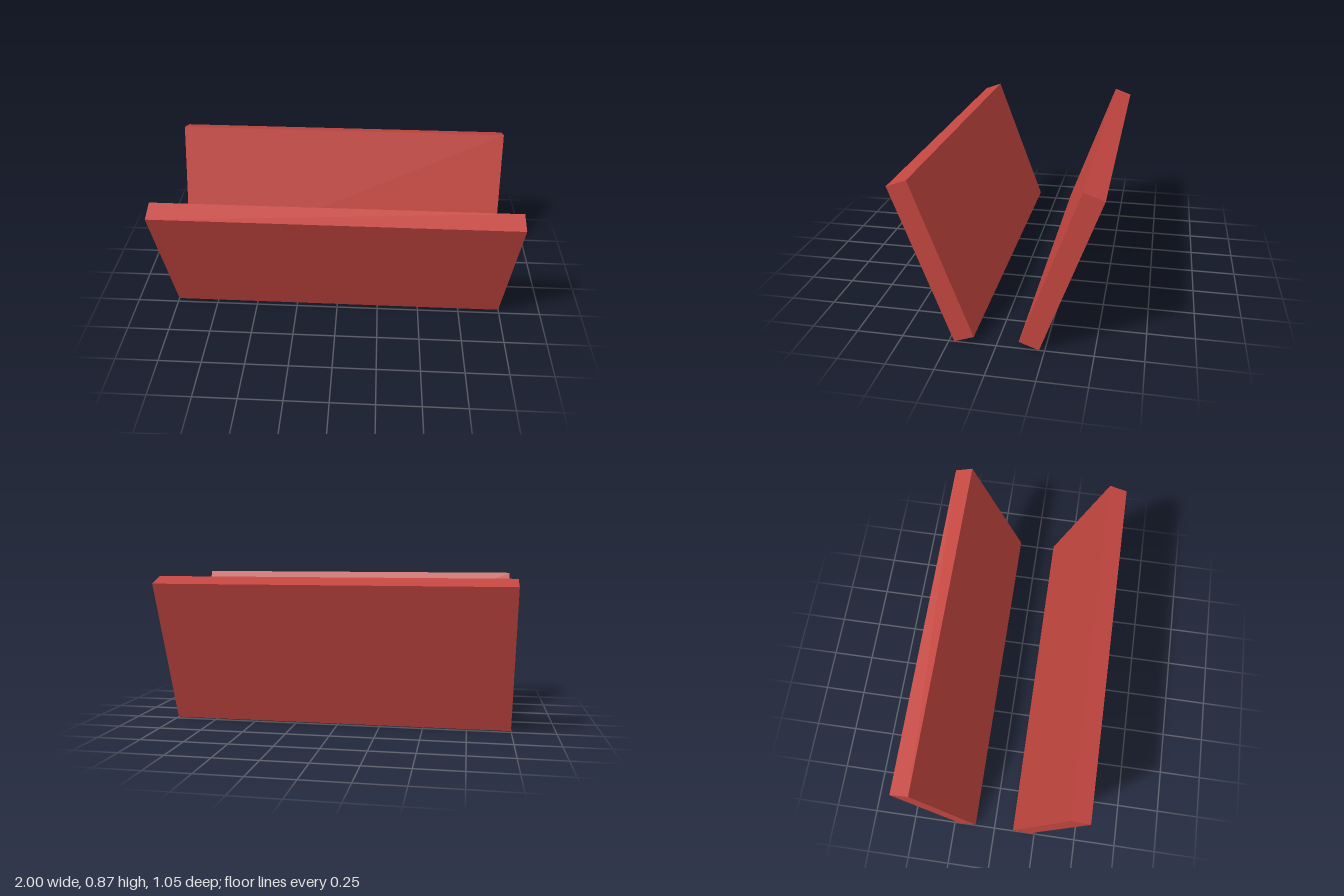
import * as THREE from 'three';

export function createModel() {
  const group = new THREE.Group();
  group.name = 'slantedPanels';

  const red = new THREE.MeshStandardMaterial({ color: 0xc44640 });
  red.name = 'brick red';

  const length = 2, height = 0.889, thickness = 0.111;
  const tilt = THREE.MathUtils.degToRad(20);
  // centre height that rests the lowest edge on the ground
  const centreY = (height * Math.cos(tilt) + thickness * Math.sin(tilt)) / 2;
  const panel = new THREE.BoxGeometry(length, height, thickness);

  // two mirrored panels leaning outward into an open V
  for (const [name, side] of [['frontPanel', 1], ['backPanel', -1]]) {
    const mesh = new THREE.Mesh(panel, red);
    mesh.name = name;
    mesh.position.set(0, centreY, side * 0.321);
    mesh.rotation.x = side * tilt;
    group.add(mesh);
  }
  return group;
}
